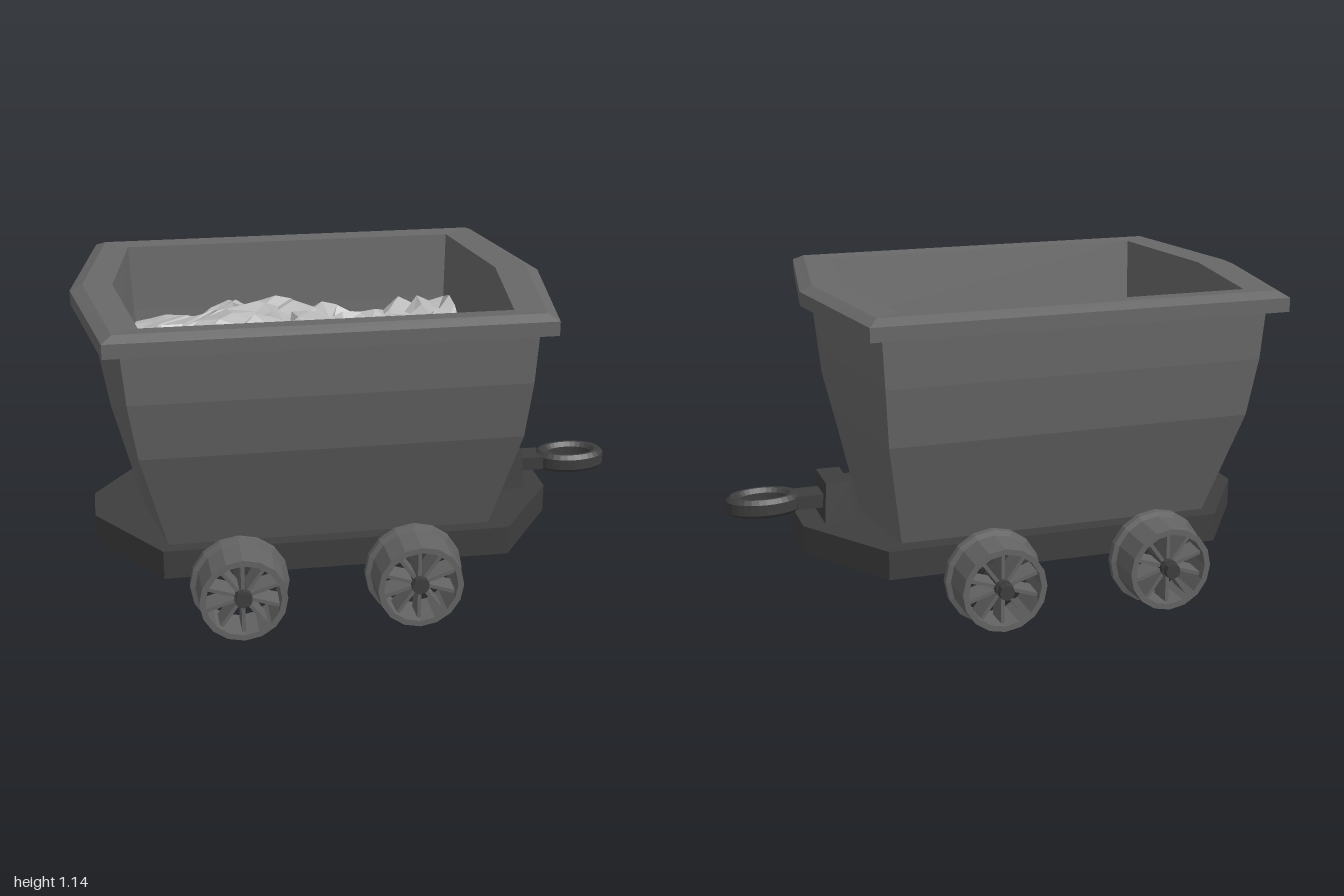
import * as THREE from 'three';

const mat = (name, color) => {
  const m = new THREE.MeshStandardMaterial({ color });
  m.name = name;
  return m;
};

// Give every facet its own flat normal
function flat(geo) {
  const g = geo.index ? geo.toNonIndexed() : geo;
  g.computeVertexNormals();
  return g;
}

// Six-sided plan: flat front and back, pointed ends
const MID = 0.02;
const hexRing = (y, leftTip, left, right, rightTip, back, front) => [
  [rightTip, y, MID], [right, y, back], [left, y, back],
  [leftTip, y, MID], [left, y, front], [right, y, front],
];

// Skin a sequence of rings with quads
function loft(rings) {
  const pos = [];
  for (let k = 0; k < rings.length - 1; k++) {
    const a = rings[k], b = rings[k + 1], n = a.length;
    for (let i = 0; i < n; i++) {
      const j = (i + 1) % n;
      pos.push(...a[i], ...a[j], ...b[j], ...a[i], ...b[j], ...b[i]);
    }
  }
  const g = new THREE.BufferGeometry();
  g.setAttribute('position', new THREE.Float32BufferAttribute(pos, 3));
  return flat(g);
}

export function createModel() {
  const model = new THREE.Group();
  const bodyMat = mat('iron grey', 0x686868);
  const darkMat = mat('dark iron', 0x3e3e3e);
  const wheelMat = mat('wheel grey', 0x646464);
  const stoneMat = mat('pale stone', 0xb8b8b8);

  const add = (name, geo, material, parent = model) => {
    const mesh = new THREE.Mesh(geo, material);
    mesh.name = name;
    parent.add(mesh);
    return mesh;
  };

  // Hopper walls, flaring upward
  add('hopper', loft([
    hexRing(0.28, -0.775, -0.705, 0.445, 0.50, -0.375, 0.385),
    hexRing(0.69, -0.88, -0.80, 0.52, 0.595, -0.515, 0.555),
    hexRing(0.90, -0.915, -0.83, 0.535, 0.615, -0.54, 0.60),
    hexRing(1.085, -0.925, -0.845, 0.545, 0.625, -0.545, 0.61),
  ]), bodyMat);

  // Bevelled rim
  add('rim', loft([
    hexRing(1.08, -0.925, -0.845, 0.545, 0.625, -0.545, 0.61),
    hexRing(1.08, -1.0, -0.90, 0.60, 0.70, -0.61, 0.65),
    hexRing(1.13, -1.0, -0.90, 0.60, 0.70, -0.61, 0.65),
    hexRing(1.15, -0.955, -0.865, 0.565, 0.655, -0.565, 0.615),
    hexRing(1.145, -0.85, -0.78, 0.47, 0.54, -0.49, 0.545),
  ]), bodyMat);

  // Inner walls
  add('innerWalls', loft([
    hexRing(1.145, -0.85, -0.78, 0.47, 0.54, -0.49, 0.545),
    hexRing(0.90, -0.83, -0.77, 0.46, 0.53, -0.465, 0.515),
    hexRing(0.65, -0.79, -0.73, 0.44, 0.50, -0.43, 0.47),
  ]), bodyMat);

  // Rubble: jittered sheet fitted to the pointed plan
  let seed = 7;
  const rand = () => {
    seed = (seed * 16807) % 2147483647;
    return seed / 2147483647 - 0.5;
  };
  const rubble = new THREE.PlaneGeometry(1, 1, 20, 15);
  rubble.rotateX(-Math.PI / 2);
  const p = rubble.attributes.position;
  for (let i = 0; i < p.count; i++) {
    const u = p.getX(i), v = p.getZ(i);
    const edge = Math.abs(u) > 0.49 || Math.abs(v) > 0.49;
    const tip = 0.065 * (1 - 2 * Math.abs(v));
    const jitter = edge ? 0 : 0.055;
    const x = -0.155 + u * (1.23 + 2 * tip) + rand() * jitter;
    const z = 0.025 + v * 0.98 + rand() * jitter;
    const mound = 0.1 * Math.exp(-((x + 0.35) ** 2 + z * z) / 0.12);
    const y = 0.87 + mound + 0.02 * Math.sin(x * 9 + z * 5) + rand() * 0.075;
    p.setXYZ(i, x, y, z);
  }
  add('rubble', flat(rubble), stoneMat);

  // Base platform with chamfered ends
  const plan = new THREE.Shape([
    [0.74, -0.1], [0.74, 0.1], [0.51, 0.445], [-0.73, 0.445],
    [-0.96, 0.1], [-0.96, -0.1], [-0.73, -0.445], [0.51, -0.445],
  ].map(([x, y]) => new THREE.Vector2(x, y)));
  const platform = new THREE.ExtrudeGeometry(plan, { depth: 0.105, bevelEnabled: false });
  platform.rotateX(-Math.PI / 2).translate(0, 0.19, 0);
  add('platform', platform, darkMat);

  // Coupling block, narrower at the top
  const block = new THREE.BoxGeometry(0.11, 0.16, 0.22);
  const b = block.attributes.position;
  for (let i = 0; i < b.count; i++) {
    if (b.getY(i) > 0) {
      b.setX(i, b.getX(i) * 0.8);
      b.setZ(i, b.getZ(i) * 0.8);
    }
  }
  add('couplingBlock', flat(block), darkMat).position.set(0.605, 0.362, 0.005);
  add('couplingNeck', new THREE.BoxGeometry(0.12, 0.05, 0.1), darkMat).position.set(0.69, 0.365, 0);

  // Coupling ring
  const bevel = 0.015;
  const oval = new THREE.Shape().absellipse(0, 0, 0.135 - bevel, 0.09 - bevel, 0, Math.PI * 2);
  oval.holes.push(new THREE.Path().absellipse(0, 0, 0.085 + bevel, 0.052 + bevel * 0.9, 0, Math.PI * 2, true));
  const ring = new THREE.ExtrudeGeometry(oval, {
    depth: 0.04, curveSegments: 14, bevelSize: bevel, bevelThickness: bevel, bevelSegments: 1,
  });
  ring.rotateX(-Math.PI / 2).translate(0.865, 0.345, 0);
  add('couplingRing', ring, darkMat);

  // Flanged wheel rim, profile as radius and distance along the axle
  const rimProfile = [
    [0.138, 0.48], [0.175, 0.48], [0.175, 0.505], [0.157, 0.51],
    [0.153, 0.638], [0.132, 0.638], [0.138, 0.48],
  ].map(([r, y]) => new THREE.Vector2(r, y));
  const wheelRim = flat(new THREE.LatheGeometry(rimProfile, 16).rotateX(Math.PI / 2));
  const hub = flat(new THREE.CylinderGeometry(0.032, 0.032, 0.14, 10).rotateX(Math.PI / 2));
  const spoke = new THREE.BoxGeometry(0.013, 0.12, 0.09).translate(0, 0.085, 0.565);
  const axle = flat(new THREE.CylinderGeometry(0.028, 0.028, 1.295, 8).rotateX(Math.PI / 2));

  for (const x of [-0.47, 0.15]) {
    const wheelset = new THREE.Group();
    wheelset.name = 'wheelset';
    wheelset.position.set(x, 0.18, 0);
    model.add(wheelset);
    add('axle', axle, darkMat, wheelset).position.z = -0.0125;
    for (const turn of [0, Math.PI]) {
      const wheel = new THREE.Group();
      wheel.name = turn ? 'backWheel' : 'frontWheel';
      wheel.rotation.y = turn;
      wheelset.add(wheel);
      add('wheelRim', wheelRim, wheelMat, wheel);
      add('hub', hub, darkMat, wheel).position.z = 0.56;
      for (let i = 0; i < 10; i++) {
        add('spoke', spoke, wheelMat, wheel).rotation.z = (i / 10) * Math.PI * 2;
      }
    }
  }
  return model;
}
